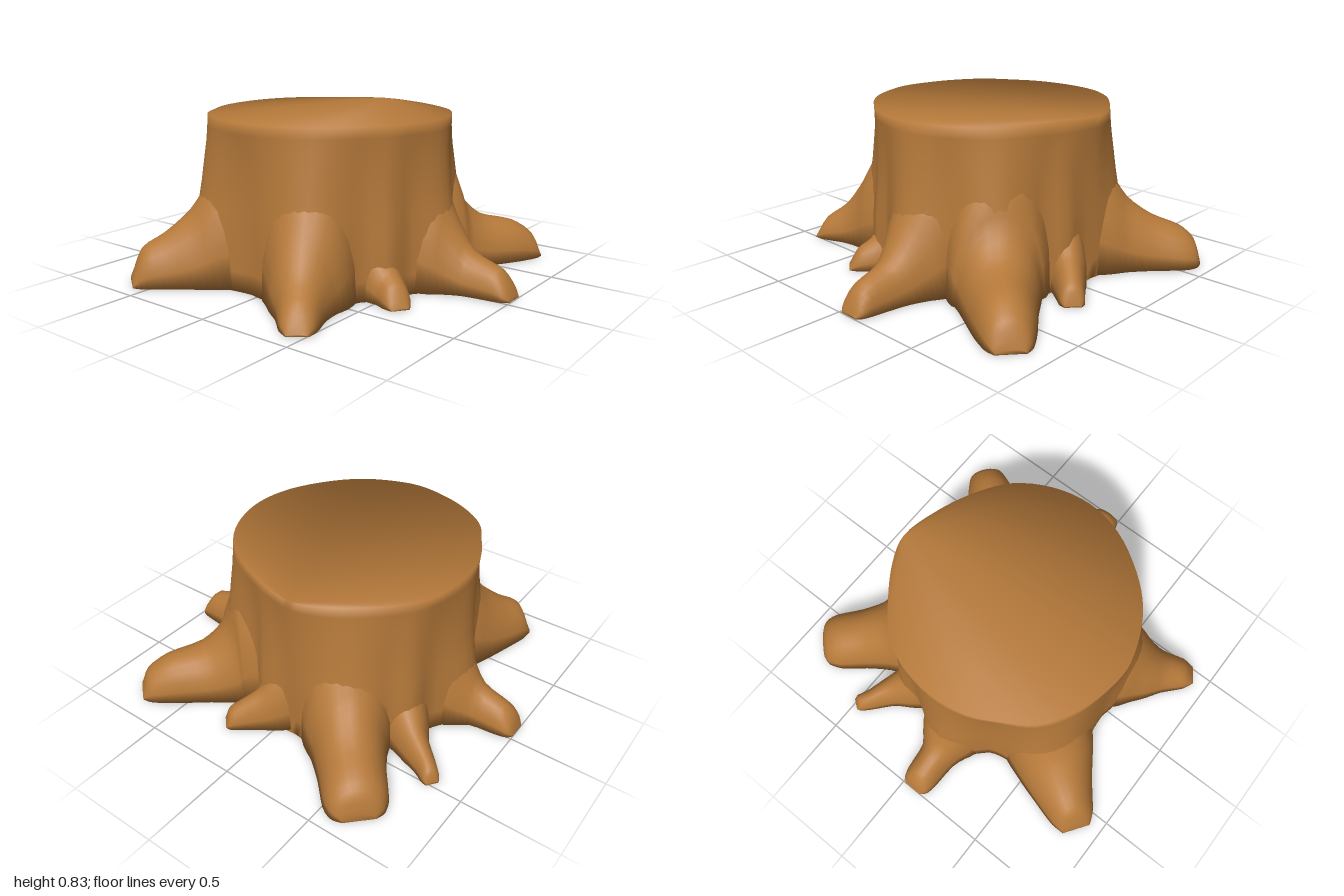
import * as THREE from 'three';

// Joins equal-length rings into a closed, smoothly shaded skin with fan caps
function loft(rings) {
  const n = rings[0].length, pos = rings.flat(2), idx = [];
  for (let r = 0; r < rings.length - 1; r++) {
    for (let i = 0; i < n; i++) {
      const j = (i + 1) % n, a = r * n, b = a + n;
      idx.push(a + i, a + j, b + j, a + i, b + j, b + i);
    }
  }
  const top = (rings.length - 1) * n;
  for (let i = 1; i < n - 1; i++) {
    idx.push(0, i + 1, i);
    idx.push(top, top + i, top + i + 1);
  }
  const g = new THREE.BufferGeometry();
  g.setAttribute('position', new THREE.Float32BufferAttribute(pos, 3));
  g.setIndex(idx);
  g.computeVertexNormals();
  return g;
}

// Roots as stations of [x, z, half width, height], from inside the trunk to the tip
const ROOTS = {
  backRoot: [[-0.045, -0.4, 0.22, 0.74], [-0.045, -0.62, 0.18, 0.5], [-0.05, -0.69, 0.15, 0.36],
    [-0.06, -0.78, 0.1, 0.2], [-0.065, -0.92, 0.088, 0.14], [-0.065, -0.975, 0.075, 0.08], [-0.065, -1.0, 0.05, 0.01]],
  backRightSmallRoot: [[0.2, -0.45, 0.15, 0.45], [0.3, -0.57, 0.12, 0.27], [0.37, -0.66, 0.08, 0.17],
    [0.43, -0.76, 0.055, 0.11], [0.475, -0.82, 0.045, 0.07], [0.49, -0.84, 0.03, 0.01]],
  backRightRoot: [[0.35, -0.22, 0.25, 0.74], [0.51, -0.36, 0.22, 0.5], [0.59, -0.43, 0.185, 0.35],
    [0.69, -0.52, 0.165, 0.25], [0.8, -0.62, 0.155, 0.19], [0.85, -0.67, 0.125, 0.13], [0.87, -0.69, 0.08, 0.04]],
  rightSmallRoot: [[0.45, -0.03, 0.14, 0.45], [0.57, 0.05, 0.11, 0.3], [0.63, 0.1, 0.085, 0.2],
    [0.69, 0.16, 0.07, 0.14], [0.74, 0.21, 0.06, 0.09], [0.76, 0.23, 0.04, 0.01]],
  frontRightRoot: [[0.28, 0.24, 0.3, 0.78], [0.43, 0.4, 0.24, 0.58], [0.49, 0.45, 0.205, 0.37],
    [0.58, 0.53, 0.175, 0.25], [0.72, 0.65, 0.14, 0.205], [0.81, 0.725, 0.105, 0.13], [0.845, 0.755, 0.07, 0.02]],
  frontRoot: [[0.06, 0.36, 0.26, 0.74], [0.06, 0.58, 0.2, 0.5], [0.065, 0.67, 0.15, 0.34],
    [0.07, 0.77, 0.11, 0.2], [0.07, 0.92, 0.088, 0.14], [0.07, 0.975, 0.075, 0.07], [0.07, 1.0, 0.05, 0.01]],
  frontLeftSmallRoot: [[-0.23, 0.38, 0.15, 0.4], [-0.28, 0.48, 0.11, 0.24], [-0.31, 0.55, 0.085, 0.15],
    [-0.35, 0.61, 0.07, 0.1], [-0.38, 0.65, 0.045, 0.01]],
  leftFrontRoot: [[-0.4, 0.15, 0.26, 0.74], [-0.56, 0.25, 0.22, 0.54], [-0.66, 0.305, 0.165, 0.35],
    [-0.75, 0.365, 0.115, 0.2], [-0.85, 0.435, 0.085, 0.11], [-0.9, 0.47, 0.05, 0.01]],
  leftBackRoot: [[-0.36, -0.26, 0.28, 0.76], [-0.54, -0.385, 0.235, 0.52], [-0.63, -0.45, 0.2, 0.36],
    [-0.74, -0.525, 0.155, 0.25], [-0.84, -0.59, 0.115, 0.18], [-0.89, -0.625, 0.075, 0.03]],
};

// Sweeps an arched section along the stations of a root
function rootGeometry(stations) {
  const path = new THREE.CatmullRomCurve3(stations.map(([x, z, , h]) => new THREE.Vector3(x, h, z)), false, 'catmullrom', 0.4);
  const width = new THREE.CatmullRomCurve3(stations.map((s) => new THREE.Vector3(s[2], 0, 0)), false, 'catmullrom', 0.4);
  const steps = (stations.length - 1) * 3, arch = 12, ground = 0.004, rings = [];
  for (let s = 0; s <= steps; s++) {
    const t = s / steps, p = path.getPoint(t), w = width.getPoint(t).x;
    const d = path.getTangent(t).setY(0).normalize();
    const ring = [];
    for (let k = 0; k <= arch; k++) {
      const a = (k / arch) * Math.PI, c = Math.cos(a) * w;
      const y = ground + Math.max(p.y, 0.01) * Math.pow(Math.max(Math.sin(a), 0), 0.85);
      ring.push([p.x + d.z * c, y, p.z - d.x * c]);
    }
    rings.push(ring);
  }
  return loft(rings);
}

// Trunk rim as [x, z]; levels as [height, scale, share of the root flare]
const RIM = [
  [0.62, -0.12], [0.57, -0.26], [0.46, -0.42], [0.35, -0.54], [0.2, -0.63], [0, -0.66], [-0.2, -0.63],
  [-0.34, -0.56], [-0.48, -0.47], [-0.58, -0.32], [-0.63, -0.17], [-0.65, 0], [-0.61, 0.15], [-0.53, 0.3],
  [-0.4, 0.43], [-0.2, 0.55], [0, 0.59], [0.2, 0.55], [0.38, 0.44], [0.5, 0.27], [0.58, 0.08],
];
const LEVELS = [[0, 0.96, 1.8], [0.1, 0.96, 1.8], [0.2, 0.96, 1.7], [0.3, 0.96, 1.55], [0.4, 0.96, 1.2],
  [0.5, 0.96, 0.95], [0.6, 0.965, 0.7], [0.7, 0.975, 0.4], [0.78, 0.99, 0.15], [0.835, 1, 0]];

// Trunk wall that swells into a buttress above each root
function trunkGeometry() {
  const rim = new THREE.CatmullRomCurve3(RIM.map(([x, z]) => new THREE.Vector3(x, 0, z)), true);
  const count = RIM.length * 4;
  const points = Array.from({ length: count }, (_, i) => rim.getPoint(i / count));
  const flares = Object.values(ROOTS).map((s) => ({ angle: Math.atan2(s[2][1], s[2][0]), w: s[1][2] }));
  const swell = (p) => flares.reduce((most, { angle, w }) => {
    const turn = Math.atan2(p.z, p.x) - angle;
    const gap = Math.atan2(Math.sin(turn), Math.cos(turn)) / (w / 0.7);
    return Math.max(most, 0.33 * w * Math.exp(-gap * gap));
  }, 0);
  const g = loft(LEVELS.map(([y, s, f]) => points.map((p) => {
    const k = s + (swell(p) * f) / p.length();
    return [p.x * k, y, p.z * k];
  })));
  // Soft cut edge: rim normals lean halfway between wall and top
  const first = (LEVELS.length - 1) * count;
  for (let i = 1; i < count; i++) {
    const n = points[i].clone().setY(0).normalize().setY(1).normalize();
    g.attributes.normal.setXYZ(first + i, n.x, n.y, n.z);
  }
  return g;
}

export function createModel() {
  const model = new THREE.Group();
  model.name = 'treeStump';
  const bark = new THREE.MeshStandardMaterial({ color: 0xb5793a });
  bark.name = 'bark';
  const add = (name, geometry) => {
    const mesh = new THREE.Mesh(geometry, bark);
    mesh.name = name;
    model.add(mesh);
  };

  // Trunk with its cut top
  add('trunk', trunkGeometry());

  // Roots spreading from the trunk
  for (const [name, stations] of Object.entries(ROOTS)) add(name, rootGeometry(stations));
  return model;
}
